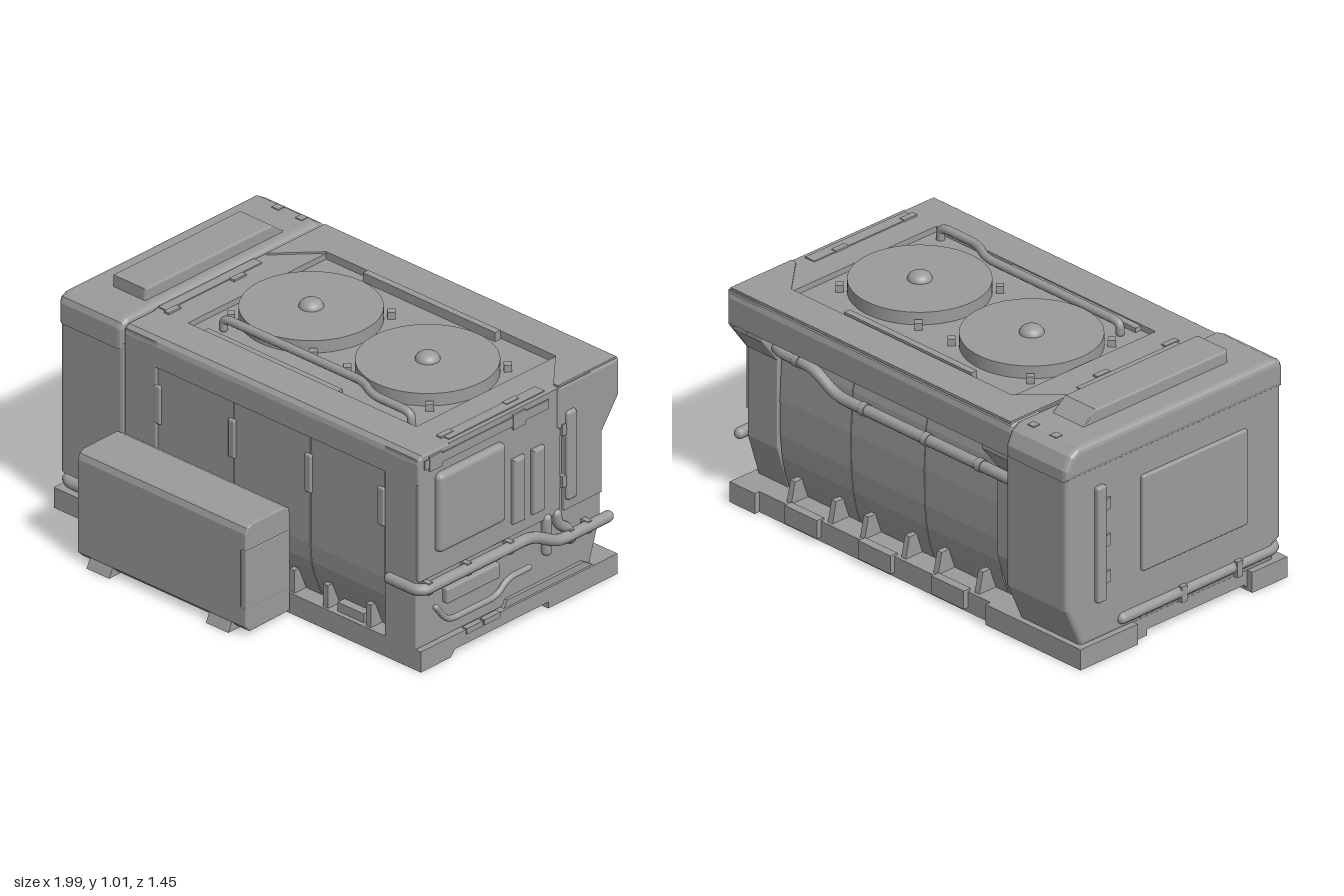
import * as THREE from 'three';
import { RoundedBoxGeometry } from 'three/addons/geometries/RoundedBoxGeometry.js';

export function createModel() {
  const root = new THREE.Group();
  const mat = new THREE.MeshStandardMaterial({ color: 0x9b9b9b });

  const add = (name, geo) => {
    const m = new THREE.Mesh(geo, mat);
    m.name = name;
    root.add(m);
    return m;
  };
  // box given by its limits, optionally rounded
  const box = (name, x0, x1, y0, y1, z0, z1, r = 0) => {
    const s = [x1 - x0, y1 - y0, z1 - z0];
    const g = r ? new RoundedBoxGeometry(...s, 3, r) : new THREE.BoxGeometry(...s);
    return add(name, g.translate((x0 + x1) / 2, (y0 + y1) / 2, (z0 + z1) / 2));
  };
  // side profile of [z, y] points, extruded along x
  const prism = (name, pts, x0, x1, b = 0) => {
    const shape = new THREE.Shape(pts.map(p => new THREE.Vector2(...p)));
    const g = new THREE.ExtrudeGeometry(shape, {
      depth: x1 - x0 - 2 * b, bevelEnabled: b > 0, bevelSize: b,
      bevelThickness: b, bevelOffset: -b, bevelSegments: 3,
    });
    return add(name, g.rotateY(-Math.PI / 2).translate(x1 - b, 0, 0));
  };
  // pipe through points with short rounded bends
  const pipe = (name, points, r) => {
    const v = points.map(p => new THREE.Vector3(...p));
    const path = new THREE.CurvePath();
    let from = v[0];
    for (let i = 1; i < v.length - 1; i++) {
      const cut = q => {
        const d = q.clone().sub(v[i]);
        return v[i].clone().addScaledVector(d.normalize(), Math.min(0.05, q.distanceTo(v[i]) * 0.45));
      };
      const a = cut(v[i - 1]), b = cut(v[i + 1]);
      path.add(new THREE.LineCurve3(from, a));
      path.add(new THREE.QuadraticBezierCurve3(a, v[i], b));
      from = b;
    }
    path.add(new THREE.LineCurve3(from, v[v.length - 1]));
    add(name, new THREE.TubeGeometry(path, v.length * 16, r, 12));
    for (const p of [v[0], v[v.length - 1]]) {
      add(name + 'End', new THREE.SphereGeometry(r, 12, 8).translate(p.x, p.y, p.z));
    }
  };

  // Base skid: raised slab, full-height edge strips, deep feet at both ends
  box('skidSlab', -0.97, 0.95, 0.028, 0.09, -0.63, 0.44);
  prism('frontSkidRail', [[0.44, 0], [0.27, 0], [0.245, 0.03], [0.245, 0.09], [0.44, 0.09]], -0.97, 0.96);
  box('backSkidRail', -0.97, 0.95, 0, 0.09, -0.645, -0.51);
  box('rightRearFoot', 0.82, 0.96, 0, 0.09, -0.67, -0.28);
  box('rightSill', 0.82, 0.96, 0.028, 0.09, -0.28, 0.25);
  box('leftRearFoot', -0.97, -0.47, 0, 0.09, -0.67, -0.28);
  box('leftCornerBlock', -1, -0.65, 0, 0.09, -0.67, -0.36);
  box('leftCornerBlock', -1, -0.65, 0, 0.09, 0.26, 0.45);

  // Inner core, with its top as the fan deck
  prism('core', [[0.41, 0.92], [-0.54, 0.92], [-0.54, 0.25], [-0.51, 0.09], [0.34, 0.09],
    [0.37, 0.15], [0.41, 0.25]], -0.62, 0.92);

  // Front and back bays: three panels that curve inward at the foot
  const edges = [-0.46, -0.05, 0.36, 0.76];
  for (let i = 0; i < 3; i++) {
    const x0 = edges[i] + 0.002, x1 = edges[i + 1] - 0.002, mid = edges[i] + 0.205;
    prism('frontPanel', [[0.432, 0.82], [0.3, 0.82], [0.3, 0.09], [0.365, 0.09], [0.385, 0.14],
      [0.41, 0.2], [0.425, 0.26], [0.432, 0.34]], x0, x1);
    prism('backPanel', [[-0.45, 0.8], [-0.56, 0.8], [-0.585, 0.68], [-0.595, 0.5], [-0.592, 0.34],
      [-0.582, 0.24], [-0.565, 0.16], [-0.54, 0.09], [-0.45, 0.09]], x0, x1);
    for (const x of [edges[i] + 0.08, edges[i] + 0.31]) {
      prism('frontBracket', [[0.43, 0.09], [0.43, 0.19], [0.38, 0.19], [0.36, 0.09]], x - 0.013, x + 0.013);
      prism('backBracket', [[-0.63, 0.09], [-0.61, 0.18], [-0.57, 0.18], [-0.54, 0.09]], x - 0.013, x + 0.013);
    }
    box('skidPad', mid - 0.07, mid + 0.07, 0.085, 0.13, 0.38, 0.42);
    box('skidLug', mid - 0.09, mid + 0.09, 0.02, 0.1, -0.668, -0.63);
  }
  for (const x of [-0.45, -0.05, 0.36, 0.75]) {
    box('panelHandle', x - 0.024, x + 0.012, 0.57, 0.74, 0.42, 0.444, 0.008);
  }

  // Corner columns
  const column = [[0.44, 0.93], [-0.68, 0.93], [-0.685, 0.78], [-0.6, 0.67], [-0.6, 0.28],
    [-0.54, 0.09], [0.44, 0.09]];
  prism('leftColumn', column, -0.63, -0.46, 0.006);
  prism('rightColumn', column, 0.765, 0.935, 0.006);
  box('rightUpperWall', 0.9, 0.95, 0.39, 0.93, -0.36, 0.438, 0.006);
  prism('rightRearCap', [[-0.34, 0.945], [-0.685, 0.945], [-0.685, 0.79], [-0.59, 0.66],
    [-0.59, 0.39], [-0.38, 0.39], [-0.38, 0.75], [-0.34, 0.77]], 0.78, 0.955, 0.008);

  // Roof frame around the fan deck
  prism('roofFront', [[0.26, 0.945], [0.26, 0.82], [0.442, 0.82], [0.442, 0.91],
    [0.436, 0.93], [0.42, 0.945]], -0.63, 0.95, 0.008);
  prism('roofBack', [[-0.52, 0.945], [-0.66, 0.945], [-0.682, 0.935], [-0.69, 0.91], [-0.69, 0.8],
    [-0.52, 0.8]], -0.63, 0.95, 0.008);
  box('roofLeft', -0.63, -0.46, 0.85, 0.945, -0.53, 0.27);
  box('roofRight', 0.765, 0.95, 0.85, 0.945, -0.53, 0.27);
  const cover = new THREE.Shape([[-0.62, -0.35], [-0.46, -0.52], [0.77, -0.52], [0.92, -0.35],
    [0.945, -0.35], [0.945, -0.68], [-0.62, -0.68]].map(p => new THREE.Vector2(...p)));
  add('rearRoofCover', new THREE.ExtrudeGeometry(cover, { depth: 0.012, bevelEnabled: false })
    .rotateX(Math.PI / 2).translate(0, 0.953, 0));
  box('roofRearStrip', -0.23, 0.48, 0.92, 0.96, -0.515, -0.485);
  box('roofFrontStrip', -0.38, 0.34, 0.92, 0.94, 0.23, 0.262);
  for (const [x0, x1, tab] of [[-0.63, -0.585, -0.572], [0.88, 0.93, 0.89]]) {
    box('roofEdgeRail', x0, x1, 0.93, 0.95, -0.29, 0.25);
    for (const z of [-0.14, 0.23]) box('roofTab', tab - 0.013, tab + 0.013, 0.93, 0.953, z - 0.035, z + 0.035);
  }

  // Twin roof fans with hubs and corner clips
  for (const x of [-0.17, 0.455]) {
    add('fan', new THREE.CylinderGeometry(0.283, 0.283, 0.06, 48).translate(x, 0.945, -0.13));
    add('fanHub', new THREE.SphereGeometry(0.05, 24, 12, 0, Math.PI * 2, 0, Math.PI / 2)
      .scale(1, 0.7, 1).translate(x, 0.974, -0.13));
    for (let i = 0; i < 4; i++) {
      const a = Math.PI / 4 + i * Math.PI / 2;
      const clip = box('fanClip', -0.016, 0.016, 0.915, 0.95, -0.016, 0.016);
      clip.rotation.y = -a;
      clip.position.set(x + 0.312 * Math.cos(a), 0, -0.13 + 0.312 * Math.sin(a));
    }
  }
  pipe('roofPipe', [[-0.35, 0.93, 0.175], [-0.35, 0.975, 0.175], [0.4, 0.975, 0.175],
    [0.5, 0.975, 0.23], [0.71, 0.975, 0.23], [0.71, 0.92, 0.23]], 0.018);

  // Right end: rail, hatch, vents, handle
  box('endRail', 0.9, 0.955, 0.88, 0.92, -0.29, 0.41);
  for (const z of [0.35, -0.12]) box('railClip', 0.9, 0.958, 0.865, 0.93, z - 0.035, z + 0.035);
  box('endHatch', 0.92, 0.98, 0.49, 0.84, -0.03, 0.35, 0.025);
  for (const z of [-0.112, -0.222]) {
    prism('ventFin', [[z - 0.032, 0.45], [z + 0.032, 0.45], [z + 0.032, 0.735], [z - 0.032, 0.735]],
      0.93, 0.972, 0.012);
  }
  box('endHandle', 0.93, 0.97, 0.435, 0.83, -0.437, -0.382, 0.015);
  for (const y of [0.5, 0.73]) box('endHinge', 0.93, 0.96, y, y + 0.05, -0.385, -0.36);

  // Right end lower plumbing
  pipe('endMainPipe', [[0.8, 0.36, 0.445], [0.965, 0.36, 0.445], [0.965, 0.36, -0.18],
    [0.965, 0.28, -0.33], [0.965, 0.28, -0.61]], 0.024);
  for (const z of [0.4, 0.18, -0.06]) box('pipeClamp', 0.92, 0.975, 0.333, 0.387, z - 0.012, z + 0.012);
  for (const z of [-0.4, -0.5]) box('pipeClamp', 0.92, 0.975, 0.252, 0.306, z - 0.012, z + 0.012);
  pipe('endRiser', [[0.945, 0.39, -0.285], [0.945, 0.25, -0.285]], 0.022);
  pipe('endRiser', [[0.945, 0.39, -0.34], [0.945, 0.34, -0.35], [0.945, 0.3, -0.41], [0.945, 0.25, -0.42]], 0.022);
  box('endTank', 0.92, 0.96, 0.24, 0.31, -0.01, 0.29, 0.01);
  pipe('endThinPipe', [[0.96, 0.255, 0.355], [0.96, 0.17, 0.29], [0.96, 0.17, 0.01],
    [0.96, 0.225, -0.05], [0.96, 0.225, -0.17]], 0.013);
  prism('endSill', [[-0.04, 0.09], [-0.54, 0.09], [-0.49, 0.12], [-0.06, 0.12]], 0.92, 0.95);
  for (const z of [0.14, 0.04]) box('endStep', 0.94, 0.965, 0.07, 0.095, z - 0.045, z + 0.045);

  // Left cabinet: body, rounded lid, roof box
  prism('leftCabinet', [[0.443, 0.86], [-0.72, 0.86], [-0.72, 0.26], [-0.64, 0.08], [0.4, 0.08],
    [0.4, 0.15], [0.443, 0.17]], -0.975, -0.63, 0.02);
  prism('leftLid', [[0.45, 0.83], [0.45, 0.92], [0.44, 0.945], [0.41, 0.96], [-0.66, 0.96],
    [-0.7, 0.935], [-0.727, 0.88], [-0.727, 0.83]], -0.98, -0.635, 0.025);
  prism('cabinetRoofBox', [[0.265, 0.95], [0.265, 1.012], [-0.45, 1.012], [-0.53, 0.95]], -0.86, -0.685, 0.008);
  for (const x of [-0.835, -0.71]) box('lidTab', x - 0.018, x + 0.018, 0.93, 0.964, -0.66, -0.625);

  // Left end: door, handle, base pipe
  box('cabinetDoor', -0.99, -0.95, 0.3, 0.72, -0.32, 0.25, 0.01);
  box('cabinetHandle', -0.998, -0.95, 0.25, 0.76, -0.57, -0.52, 0.012);
  for (const y of [0.32, 0.48, 0.64]) box('cabinetHinge', -0.985, -0.95, y, y + 0.05, -0.525, -0.49);
  pipe('cabinetPipe', [[-0.79, 0.13, 0.43], [-0.965, 0.13, 0.43], [-0.975, 0.13, -0.42]], 0.025);
  box('pipeClamp', -0.76, -0.73, 0.09, 0.16, 0.38, 0.44);
  for (const z of [0.2, -0.1]) box('pipeClamp', -0.995, -0.94, 0.09, 0.16, z - 0.015, z + 0.015);

  // Back pipe below the roof overhang, with sleeve joints
  pipe('backPipe', [[0.8, 0.735, -0.57], [0.74, 0.735, -0.628], [0.54, 0.735, -0.628],
    [0.4, 0.66, -0.628], [-0.64, 0.66, -0.628]], 0.024);
  for (const x of [0.62, 0.25, -0.1, -0.4]) {
    add('pipeSleeve', new THREE.CylinderGeometry(0.028, 0.028, 0.03, 16).rotateZ(Math.PI / 2)
      .translate(x, x > 0.5 ? 0.735 : 0.66, -0.628));
  }

  // Front box with carrying brackets
  prism('frontBox', [[0.45, 0.02], [0.675, 0.015], [0.7, 0.04], [0.7, 0.45], [0.69, 0.475],
    [0.665, 0.488], [0.48, 0.488], [0.455, 0.475], [0.45, 0.45]], -0.635, 0.268, 0.006);
  box('boxSideRib', 0.24, 0.271, 0.12, 0.38, 0.465, 0.702, 0.005);
  for (const x of [-0.505, 0.135]) {
    prism('boxFoot', [[0.4, 0], [0.722, 0], [0.702, 0.04], [0.4, 0.04]], x - 0.06, x + 0.06);
  }
  return root;
}
